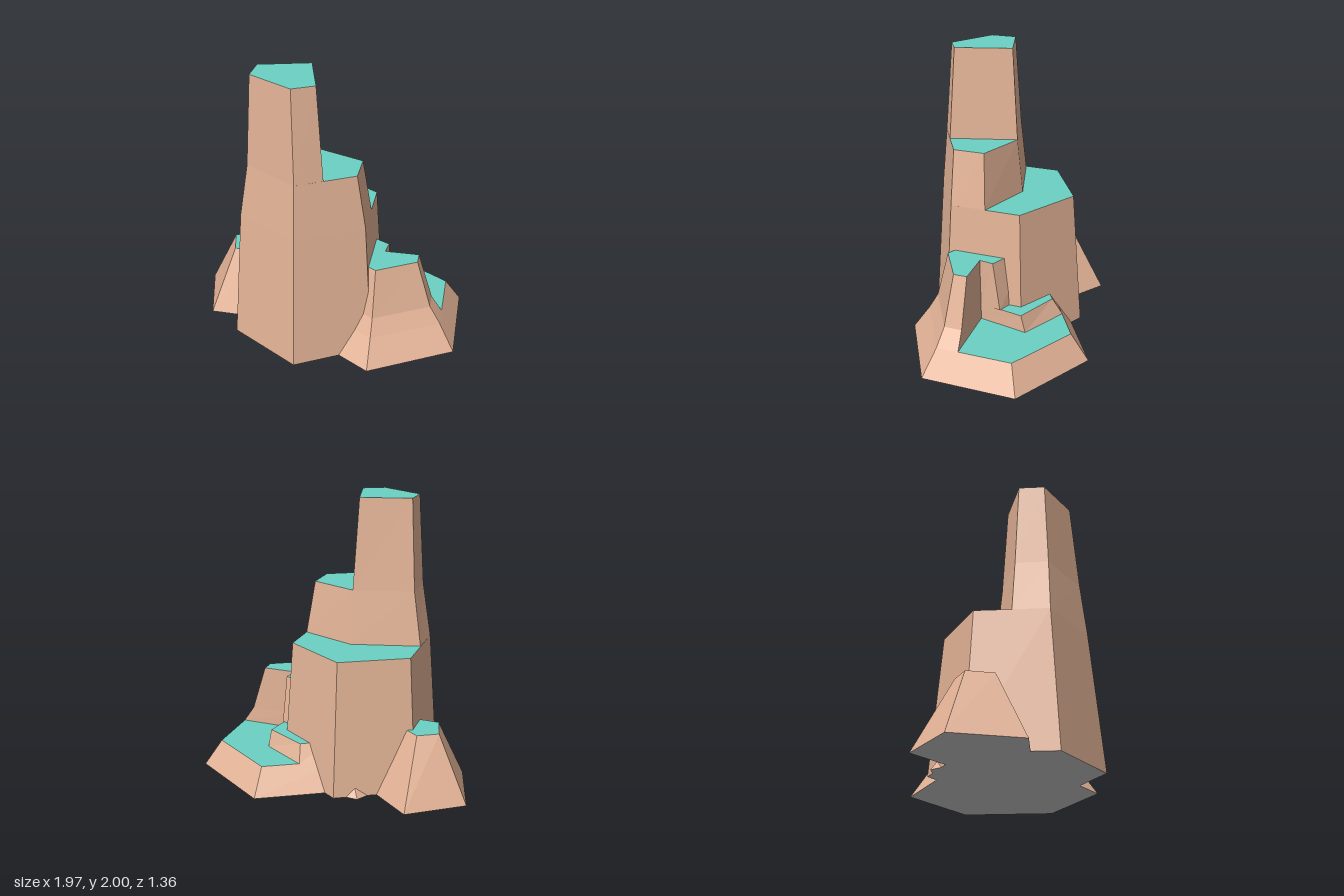
import * as THREE from 'three';

const rock = new THREE.MeshStandardMaterial({ color: 0xe4b497, flatShading: true });
const grass = new THREE.MeshStandardMaterial({ color: 0x6bd1c3, flatShading: true });
const underside = new THREE.MeshStandardMaterial({ color: 0xcccccc, flatShading: true });

function mesh(name, positions, material) {
  const geometry = new THREE.BufferGeometry();
  geometry.setAttribute('position', new THREE.Float32BufferAttribute(positions, 3));
  geometry.computeVertexNormals();
  const m = new THREE.Mesh(geometry, material);
  m.name = name;
  return m;
}

// One tier: sloping walls between two [x, z] outlines, with a flat top
function tier(name, y0, y1, lower, upper, { top = grass, base = false } = {}) {
  const group = new THREE.Group();
  group.name = name;
  const flat = (pts) => pts.map(([x, z]) => new THREE.Vector2(x, -z));
  let lo = flat(lower), hi = flat(upper);
  if (THREE.ShapeUtils.isClockWise(lo)) {
    lo = lo.reverse();
    hi = hi.reverse();
  }
  const at = (p, y) => [p.x, y, -p.y];
  const walls = [];
  lo.forEach((a, i) => {
    const j = (i + 1) % lo.length;
    const A = at(a, y0), B = at(lo[j], y0), C = at(hi[j], y1), D = at(hi[i], y1);
    walls.push(...A, ...B, ...C, ...A, ...C, ...D);
  });
  const cap = (pts, y, flip) => THREE.ShapeUtils.triangulateShape(pts, [])
    .flatMap((f) => (flip ? [f[0], f[2], f[1]] : f).flatMap((i) => at(pts[i], y)));
  group.add(mesh(name + 'Walls', walls, rock));
  group.add(mesh(name + 'Top', cap(hi, y1, false), top));
  if (base) group.add(mesh(name + 'Underside', cap(lo, y0, true), underside));
  return group;
}

// Regular outline with one corner pointing to the back
function ring(n, cx, cz, r) {
  return Array.from({ length: n }, (_, i) => {
    const a = (i / n) * Math.PI * 2;
    return [cx + r * Math.sin(a), cz - r * Math.cos(a)];
  });
}

function named(name, ...parts) {
  const g = new THREE.Group();
  g.name = name;
  g.add(...parts);
  return g;
}

export function createModel() {
  // Tall rock, three tiers stepping up towards the front left
  const tallRock = named('tallRock',
    tier('tallLowerTier', 0, 0.98, ring(6, -0.1, 0.1, 0.58), ring(6, -0.1, 0.1, 0.5), { base: true }),
    tier('tallMiddleTier', 0.98, 1.365,
      [[-0.53, 0.1], [-0.06, -0.035], [0.333, 0.1], [0.333, 0.35], [-0.1, 0.6], [-0.533, 0.35]],
      [[-0.47, 0.12], [-0.06, 0.005], [0.27, 0.125], [0.27, 0.345], [-0.1, 0.56], [-0.47, 0.345]]),
    tier('tallUpperTier', 1.365, 2,
      [[-0.47, 0.12], [-0.06, 0.005], [0.07, 0.46], [-0.1, 0.56], [-0.47, 0.345]],
      [[-0.43, 0.15], [-0.09, 0.05], [0.02, 0.43], [-0.12, 0.51], [-0.43, 0.33]]));

  // Wide rock, three tiers with the low ledge wrapping round the back
  const wideRock = named('wideRock',
    tier('wideLowerTier', 0, 0.185, ring(6, 0.41, -0.02, 0.66), ring(6, 0.41, -0.02, 0.53), { base: true }),
    tier('wideMiddleTier', 0.185, 0.305,
      [[0.87, 0.09], [0.43, 0.1], [0.5, -0.25], [0.18, -0.42], [-0.05, -0.285], [-0.05, 0.245], [0.41, 0.51], [0.87, 0.245]],
      [[0.79, 0.095], [0.43, 0.1], [0.49, -0.215], [0.2, -0.35], [0.03, -0.24], [0.03, 0.22], [0.41, 0.44], [0.79, 0.22]]),
    tier('wideUpperTier', 0.305, 0.65,
      [[0.79, 0.095], [0.43, 0.1], [0.47, -0.055], [0.03, -0.23], [0.03, 0.22], [0.41, 0.44], [0.79, 0.22]],
      [[0.68, 0.095], [0.44, 0.1], [0.455, 0], [0.14, -0.15], [0.14, 0.19], [0.41, 0.35], [0.68, 0.19]]));

  // Small five-sided rock
  const smallRock = tier('smallRock', 0, 0.465,
    [[-0.62, -0.51], [-0.985, -0.25], [-0.85, 0.21], [-0.39, 0.21], [-0.255, -0.25]],
    [[-0.62, -0.25], [-0.755, -0.17], [-0.705, 0.01], [-0.55, 0.01], [-0.5, -0.17]], { base: true });

  // Pebble tucked against the back of the tall rock
  const pebble = tier('pebble', 0, 0.08,
    [[-0.32, -0.34], [-0.26, -0.437], [-0.17, -0.435], [-0.17, -0.34]],
    [[-0.23, -0.38], [-0.22, -0.39], [-0.21, -0.39], [-0.21, -0.38]], { top: rock, base: true });

  return named('rockFormation', tallRock, wideRock, smallRock, pebble);
}
